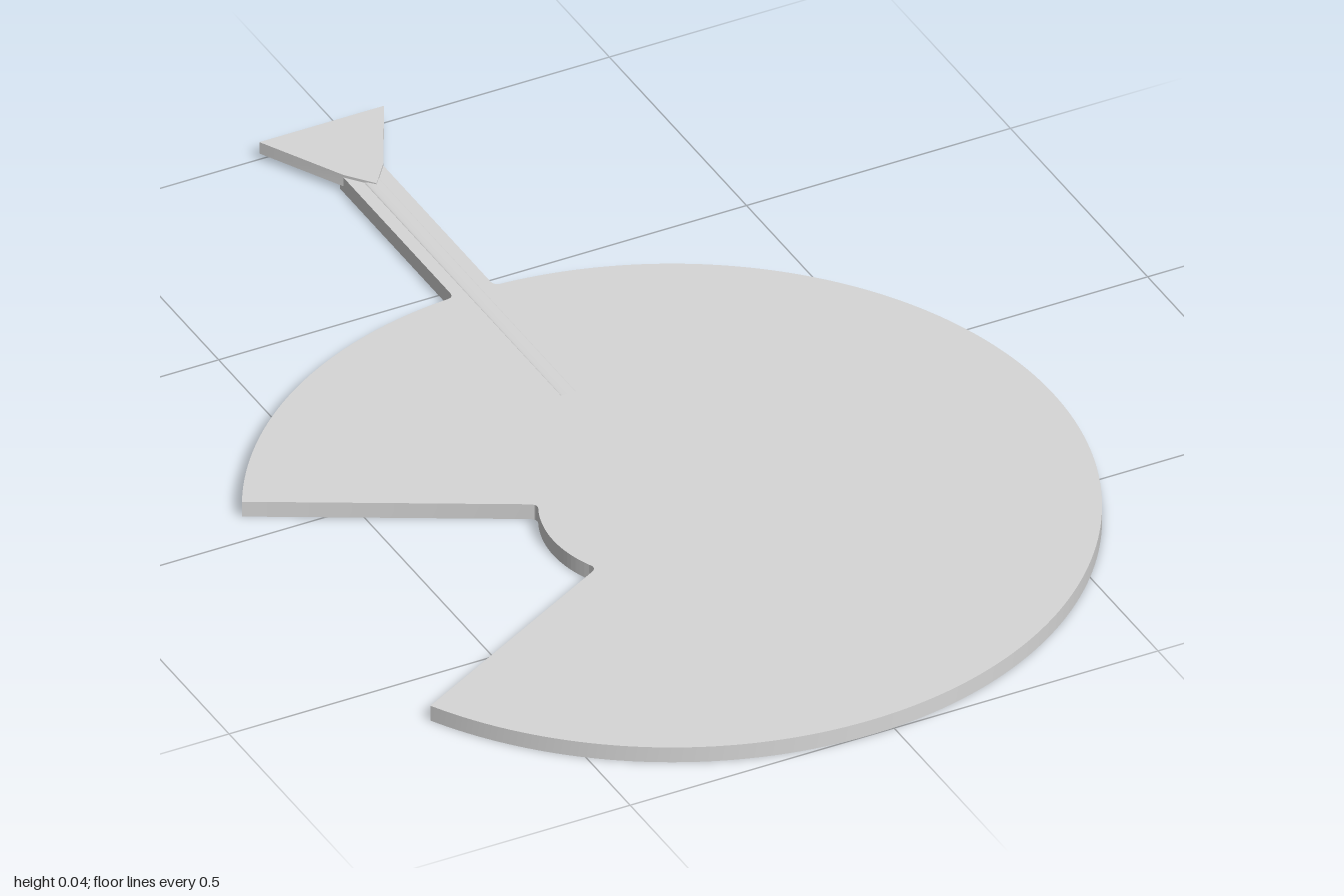
import * as THREE from 'three';
import { toCreasedNormals } from 'three/addons/utils/BufferGeometryUtils.js';

const CX = -0.045, CZ = 0.277;      // disc centre
const R = 0.723, INNER = 0.225;     // disc and inner notch radii
const WEDGE = 0.495;                // half angle of the cut-out
const TOP = 0.03;                   // height of the plate surface
const HALF = 0.038, END = 0.86;     // handle half width and length to the back

export function createModel() {
  const group = new THREE.Group();
  const grey = new THREE.MeshStandardMaterial({ color: 0xd6d6d6, side: THREE.DoubleSide });
  grey.name = 'light grey';

  const add = (geometry, name) => {
    const mesh = new THREE.Mesh(geometry, grey);
    mesh.name = name;
    group.add(mesh);
  };

  // Hollow sheet part, open below: a flat top and a skirt around a
  // counter-clockwise plan outline (x, -z)
  const shell = (shape, bottom, top, name) => {
    add(new THREE.ShapeGeometry(shape, 100).rotateX(-Math.PI / 2).translate(0, top, 0), name + 'Top');
    const pts = shape.getPoints(100), pos = [];
    pts.forEach((p, i) => {
      const q = pts[(i + 1) % pts.length];
      if (p.distanceTo(q) < 1e-6) return;
      pos.push(p.x, bottom, -p.y, q.x, bottom, -q.y, q.x, top, -q.y);
      pos.push(p.x, bottom, -p.y, q.x, top, -q.y, p.x, top, -p.y);
    });
    const wall = new THREE.BufferGeometry();
    wall.setAttribute('position', new THREE.Float32BufferAttribute(pos, 3));
    add(toCreasedNormals(wall, 0.5), name + 'Skirt');
  };
  const polar = (r, a) => [CX + r * Math.cos(a), -CZ + r * Math.sin(a)];

  // Disc with a wedge cut-out, running into a straight handle
  const up = Math.PI / 2, gap = Math.asin((HALF + 0.015) / R);
  const neck = -CZ + R * Math.cos(gap);
  const a0 = Math.PI - WEDGE, a1 = Math.PI + WEDGE, soft = 0.06;
  const s = new THREE.Shape();
  s.moveTo(CX + HALF, END);
  s.lineTo(CX - HALF, END);
  s.lineTo(CX - HALF, neck + 0.015);
  s.quadraticCurveTo(CX - HALF, neck, ...polar(R, up + gap));
  s.absarc(CX, -CZ, R, up + gap, a0, false);
  s.lineTo(...polar(INNER + 0.015, a0));
  s.quadraticCurveTo(...polar(INNER, a0), ...polar(INNER, a0 + soft));
  s.absarc(CX, -CZ, INNER, a0 + soft, a1 - soft, false);
  s.quadraticCurveTo(...polar(INNER, a1), ...polar(INNER + 0.015, a1));
  s.lineTo(...polar(R, a1));
  s.absarc(CX, -CZ, R, a1, 2 * Math.PI + up - gap, false);
  s.quadraticCurveTo(CX + HALF, neck, CX + HALF, neck + 0.015);
  s.closePath();
  shell(s, 0, TOP, 'discAndHandle');

  // Flared tab laid over the end of the handle
  const tab = new THREE.Shape([
    [0.118, 1], [-0.118, 1], [-HALF, 0.848], [0, 0.8], [HALF, 0.848],
  ].map(([x, y]) => new THREE.Vector2(CX + x, y)));
  shell(tab, 0.012, 0.035, 'flaredTab');

  // Low rounded rib along the handle, fading out toward the disc centre
  const rib = new THREE.CylinderGeometry(0.014, 0.014, 0.73, 12, 1, true, -Math.PI / 2, Math.PI);
  rib.rotateX(-Math.PI / 2);
  const p = rib.attributes.position;
  for (let i = 0; i < p.count; i++) {
    const height = p.getZ(i) < 0 ? 0.003 : 0.001;
    p.setXYZ(i, CX + p.getX(i), TOP + height * Math.abs(p.getY(i)) / 0.014, p.getZ(i) - 0.465);
  }
  rib.computeVertexNormals();
  add(rib, 'handleRib');

  return group;
}
